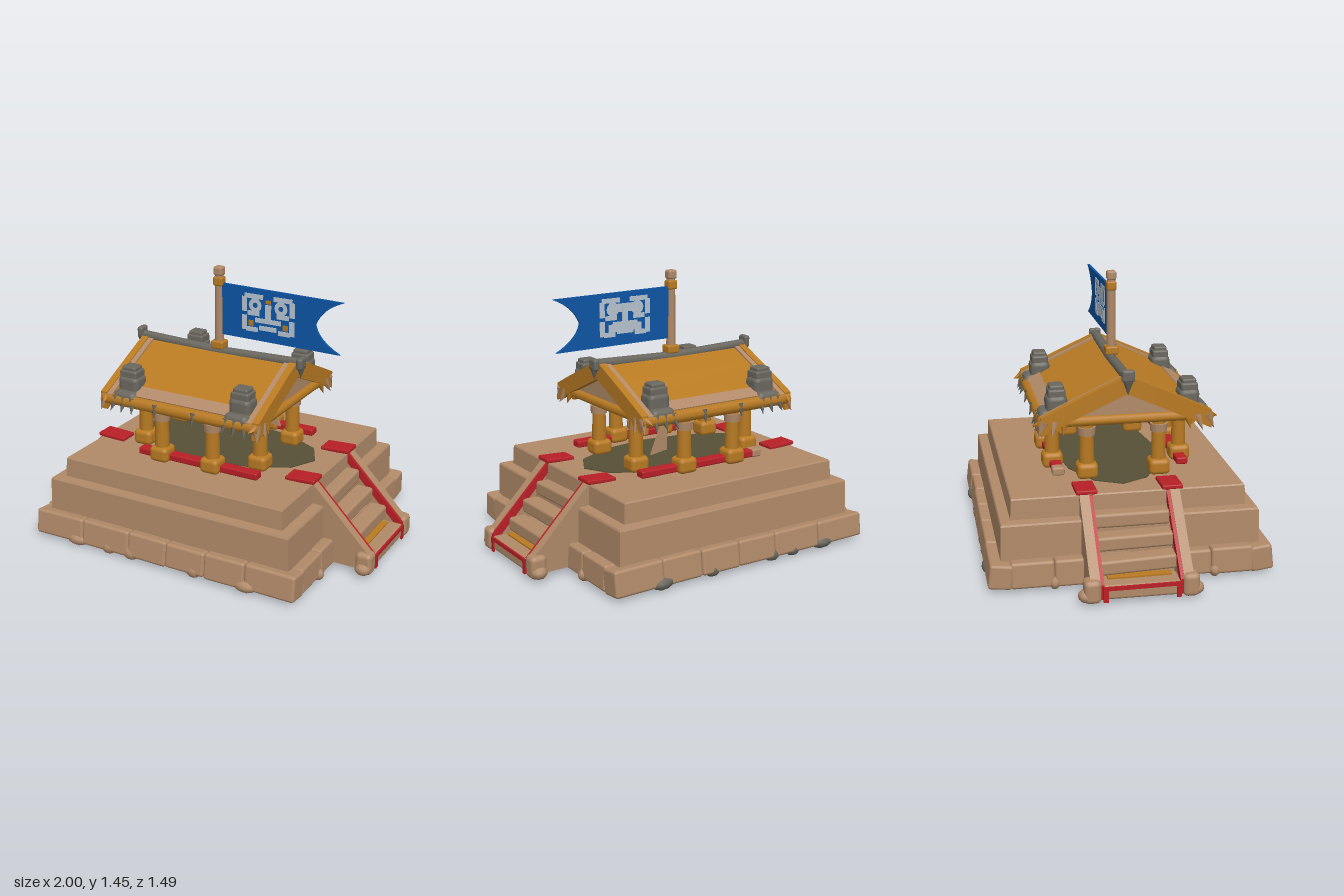
import * as THREE from 'three';
import { RoundedBoxGeometry } from 'three/addons/geometries/RoundedBoxGeometry.js';

const mat = (name, color, side = THREE.FrontSide) => {
  const m = new THREE.MeshStandardMaterial({ color, side });
  m.name = name;
  return m;
};

export function createModel() {
  const stone = mat('tan stone', 0xb18a69, THREE.DoubleSide);
  const wood = mat('ochre wood', 0xb87a22);
  const red = mat('red paint', 0xb81f26);
  const blue = mat('blue cloth', 0x0d55a5);
  const grey = mat('grey stone', 0x6a675f);
  const pale = mat('pale paint', 0xb8c4d0);
  const olive = mat('olive floor', 0x575038);

  const model = new THREE.Group();
  const group = (name, parent = model) => {
    const g = new THREE.Group();
    g.name = name;
    parent.add(g);
    return g;
  };
  const add = (parent, name, geo, material, x = 0, y = 0, z = 0) => {
    const m = new THREE.Mesh(geo, material);
    m.name = name;
    m.position.set(x, y, z);
    parent.add(m);
    return m;
  };
  const box = (w, h, d) => new THREE.BoxGeometry(w, h, d);
  const block = (w, h, d, r = 0.015) => new RoundedBoxGeometry(w, h, d, 2, r);
  // cylinder or cone between two points
  const rod = (parent, name, a, b, r0, r1, material, sides = 8) => {
    const p = new THREE.Vector3(...a), d = new THREE.Vector3(...b).sub(p);
    const m = add(parent, name, new THREE.CylinderGeometry(r1, r0, d.length(), sides), material);
    m.position.copy(p).addScaledVector(d, 0.5);
    m.quaternion.setFromUnitVectors(new THREE.Vector3(0, 1, 0), d.normalize());
    return m;
  };
  const shape = pts => new THREE.Shape(pts.map(p => new THREE.Vector2(...p)));
  const extrude = (s, depth) => new THREE.ExtrudeGeometry(s, { depth, bevelEnabled: false });
  // extrude a [z, y] outline from x0 to x1
  const alongX = (pts, x0, x1) =>
    extrude(shape(pts.map(([z, y]) => [-z, y])), x1 - x0).rotateY(Math.PI / 2).translate(x0, 0, 0);
  let seed = 7;
  const rnd = () => (seed = (seed * 16807) % 2147483647) / 2147483647 - 0.5;

  // stepped hollow platform, lofted from rectangles [half x, half z, y]
  const base = group('platform');
  const rows = [[0.52, 0.47, 0.12], [0.72, 0.665, 0.12], [0.715, 0.66, 0.328], [0.71, 0.655, 0.337],
    [0.655, 0.605, 0.339], [0.65, 0.6, 0.44], [0.645, 0.595, 0.447], [0.37, 0.18, 0.447]];
  const pos = [];
  const corner = ([x, z, y], i) => [[-x, y, z], [x, y, z], [x, y, -z], [-x, y, -z]][i % 4];
  for (let r = 0; r < rows.length - 1; r++) for (let i = 0; i < 4; i++) {
    const a = corner(rows[r], i), b = corner(rows[r], i + 1);
    const c = corner(rows[r + 1], i + 1), d = corner(rows[r + 1], i);
    pos.push(...a, ...b, ...c, ...a, ...c, ...d);
  }
  const loft = new THREE.BufferGeometry();
  loft.setAttribute('position', new THREE.Float32BufferAttribute(pos, 3));
  loft.computeVertexNormals();
  add(base, 'tiers', loft, stone);
  const floor = add(base, 'floor', new THREE.CylinderGeometry(0.54, 0.54, 0.012, 12), olive, 0, 0.446, -0.01);
  floor.scale.z = 0.52;

  // ring of leaning foundation blocks and loose rocks
  const xs = [-0.78, -0.48, -0.19, 0.04, 0.27, 0.5, 0.78], zs = [-0.62, -0.4, 0, 0.4, 0.62];
  for (const s of [-1, 1]) {
    for (let i = 0; i < 6; i++) {
      const m = add(base, 'foundationBlock', block(xs[i + 1] - xs[i], 0.135 + rnd() * 0.012, 0.12),
        stone, (xs[i] + xs[i + 1]) / 2, 0.086, s * (0.664 + rnd() * 0.01));
      m.rotation.set(-s * 0.12, 0, rnd() * 0.03);
    }
    for (let i = 0; i < 4; i++)
      add(base, 'foundationBlock', block(0.11, 0.135 + rnd() * 0.012, zs[i + 1] - zs[i]),
        stone, s * (0.727 + rnd() * 0.008), 0.086, (zs[i] + zs[i + 1]) / 2).rotation.z = s * 0.06;
  }
  const rock = (x, z, w, material) => {
    const m = add(base, 'rock', new THREE.IcosahedronGeometry(1, 1), material, x, 0.038, z);
    m.scale.set(w, 0.036, w * 0.65);
    m.rotation.y = rnd() * 0.4;
  };
  for (const s of [-1, 1]) {
    for (const x of [-0.52, 0.5]) rock(x, s * 0.7, 0.07, s < 0 ? grey : stone);
    for (const x of [-0.32, -0.18, 0.2]) rock(x, s * 0.705, 0.045, s < 0 ? grey : stone);
    for (const z of [-0.4, 0.42]) rock(s * 0.76, z, 0.045, stone);
  }

  // stairs, one flight on each side
  for (const turn of [0, Math.PI]) {
    const st = group(turn ? 'rightStairs' : 'leftStairs');
    st.rotation.y = turn;
    for (const s of [-1, 1]) {
      const wall = shape([[0.6, 0.03], [0.98, 0.03], [0.985, 0.11], [0.655, 0.448], [0.6, 0.448]]);
      add(st, 'stairWall', extrude(wall, 0.05), stone, 0, 0, s * 0.232 - 0.025);
      const trim = shape([[0.94, 0.03], [0.985, 0.03], [0.985, 0.106], [0.655, 0.443], [0.6, 0.443], [0.94, 0.095]]);
      add(st, 'redTrim', extrude(trim, 0.018), red, 0, 0, s * 0.198 - 0.009);
      add(st, 'redPost', box(0.01, 0.08, 0.024), red, 0.991, 0.058, s * 0.182);
      add(st, 'railCap', block(0.165, 0.022, 0.108, 0.006), red, 0.583, 0.457, s * 0.22).rotation.z = 0.05;
      add(st, 'newelBlock', block(0.09, 0.12, 0.085, 0.025), stone, 0.955, 0.072, s * 0.245);
      const toe = add(st, 'toeRock', new THREE.IcosahedronGeometry(0.045, 1), stone, 0.955, 0.045, s * 0.27);
      toe.scale.y = 0.8;
    }
    for (let i = 0; i < 4; i++) {
      const step = add(st, 'step', block(i === 3 ? 0.13 : 0.1, 0.075, 0.39), stone,
        0.675 + i * 0.083, 0.325 - i * 0.087, 0);
      step.rotation.x = rnd() * 0.08;
    }
    add(st, 'ochreEdge', box(0.045, 0.008, 0.32), wood, 0.895, 0.106, 0);
    add(st, 'redSill', box(0.01, 0.02, 0.37), red, 0.99, 0.088, 0);
  }

  // columns with footings and capitals
  const cx = -0.035, cz = 0.015;
  const columns = group('columns');
  for (const sx of [-1, 1]) for (const sz of [-1, 1])
    for (const [dx, dz] of [[0.355, 0.19], [0.155, 0.345]]) {
      const x = cx + sx * dx, z = cz + sz * dz;
      add(columns, 'footing', block(0.11, 0.085, 0.11, 0.025), wood, x, 0.485, z);
      rod(columns, 'shaft', [x, 0.5, z], [x, 0.69, z], 0.041, 0.037, wood, 10);
      rod(columns, 'capital', [x, 0.675, z], [x, 0.718, z], 0.045, 0.048, stone, 10);
      rod(columns, 'pin', [x, 0.71, z], [x, 0.77, z], 0.036, 0.036, wood, 10);
    }
  // low red sills between the footings
  for (const s of [-1, 1])
    add(columns, 'redSill', block(0.72, 0.038, 0.06, 0.008), red, 0.03, 0.472, cz + s * 0.335);
  add(columns, 'sillEnd', block(0.06, 0.044, 0.066, 0.01), stone, -0.345, 0.472, cz - 0.335);
  // broken panel leaning behind a column
  add(columns, 'brokenPanel', extrude(shape([[0.14, 0.7], [0.17, 0.69], [0.24, 0.52], [0.14, 0.535]]), 0.012),
    stone, 0, 0, -0.2);

  // gabled roof: slightly concave slopes from ridge to eaves
  const roof = group('roof');
  const line = [[0, 0.995], [0.15, 0.928], [0.32, 0.85], [0.44, 0.792]];
  const chevron = (up, down) => [
    ...line.map(([z, y]) => [cz + z, y + up]).reverse(),
    ...line.slice(1).map(([z, y]) => [cz - z, y + up]),
    ...line.map(([z, y]) => [cz - z, y - down]).reverse(),
    ...line.slice(1).map(([z, y]) => [cz + z, y - down])];
  add(roof, 'slopes', alongX(chevron(0, 0.03), cx - 0.45, cx + 0.45), wood);
  for (const s of [-1, 1]) {
    const span = (a, b) => s < 0 ? [cx - b, cx - a] : [cx + a, cx + b];
    add(roof, 'rafter', alongX(chevron(0.016, 0.08), ...span(0.435, 0.475)), wood);
    add(roof, 'gableTrim', alongX(chevron(0.01, 0.02), ...span(0.405, 0.436)), stone);
    add(roof, 'gable', alongX([[cz - 0.36, 0.78], [cz + 0.36, 0.78], [cz, 0.97]], ...span(0.42, 0.44)), stone);
    rod(roof, 'tieBeam', [cx + s * 0.44, 0.775, cz - 0.42], [cx + s * 0.44, 0.775, cz + 0.42], 0.026, 0.026, wood);
    rod(roof, 'eaveBeam', [cx - 0.47, 0.772, cz + s * 0.42], [cx + 0.47, 0.772, cz + s * 0.42], 0.034, 0.034, wood);
    rod(roof, 'wallPlate', [cx - 0.43, 0.75, cz + s * 0.345], [cx + 0.43, 0.75, cz + s * 0.345], 0.026, 0.026, wood);
    // tan band above the eave
    const band = add(roof, 'eaveBand', box(0.6, 0.008, 0.075), stone, cx, 0.822, cz + s * 0.383);
    band.rotation.x = s * 0.45;
    for (const x of [-0.17, 0.06])
      rod(roof, 'eaveSpike', [x, 0.79, cz + s * 0.435], [x, 0.725, cz + s * 0.46], 0.02, 0.001, grey, 6);
  }

  // corner urns with claws and tusks
  for (const sx of [-1, 1]) for (const sz of [-1, 1]) {
    const ornament = group('cornerOrnament', roof);
    const x = cx + sx * 0.335, z = cz + sz * 0.345;
    add(ornament, 'urn', block(0.125, 0.13, 0.11, 0.03), grey, x, 0.835, z);
    add(ornament, 'urnNeck', block(0.105, 0.05, 0.09, 0.012), grey, x, 0.905, z);
    add(ornament, 'urnCap', block(0.085, 0.035, 0.075, 0.01), grey, x, 0.932, z);
    add(ornament, 'paw', block(0.14, 0.07, 0.08, 0.03), grey, x, 0.79, z + sz * 0.055);
    for (const d of [-0.05, 0, 0.05])
      rod(ornament, 'claw', [x + d, 0.79, z + sz * 0.08], [x + d * 1.3, 0.72, z + sz * 0.12], 0.025, 0.001, grey, 6);
    const ex = cx + sx * 0.455, ez = cz + sz * 0.42;
    rod(ornament, 'tusk', [ex, 0.785, ez], [ex + sx * 0.015, 0.71, ez + sz * 0.035], 0.03, 0.001, stone, 6);
    rod(ornament, 'tusk', [ex, 0.785, ez], [ex - sx * 0.02, 0.765, ez + sz * 0.06], 0.028, 0.001, wood, 6);
    rod(ornament, 'tusk', [ex, 0.78, ez - sz * 0.05], [ex + sx * 0.035, 0.71, ez - sz * 0.03], 0.026, 0.001, stone, 6);
    rod(ornament, 'tusk', [ex, 0.775, ez - sz * 0.1], [ex + sx * 0.02, 0.715, ez - sz * 0.09], 0.022, 0.001, wood, 6);
  }

  // sagging ridge pole with pointed ends
  rod(roof, 'ridgePole', [-0.52, 1.0, cz], [-0.03, 0.982, cz], 0.026, 0.028, grey);
  rod(roof, 'ridgePole', [-0.03, 0.982, cz], [0.46, 0.998, cz], 0.028, 0.026, grey);
  for (const x of [-0.525, 0.455]) {
    add(roof, 'ridgeKnob', block(0.035, 0.065, 0.068, 0.014), grey, x, x < 0 ? 1.015 : 0.995, cz);
    rod(roof, 'ridgeFang', [x, 0.985, cz], [x, 0.915, cz], 0.026, 0.001, grey, 6);
  }

  // flagpole
  const flag = group('flag');
  const px = -0.03, pz = 0.02;
  add(flag, 'poleFoot', block(0.075, 0.045, 0.07, 0.01), wood, px, 1.025, pz);
  rod(flag, 'pole', [px, 1.02, pz], [px, 1.43, pz], 0.026, 0.023, stone, 8);
  add(flag, 'poleCollar', block(0.055, 0.05, 0.052, 0.01), wood, px, 1.375, pz);
  add(flag, 'finial', block(0.052, 0.05, 0.05, 0.012), stone, px, 1.43, pz);

  // swallow-tailed cloth
  const cloth = new THREE.Shape();
  cloth.moveTo(-0.01, 1.085);
  cloth.lineTo(0.675, 1.078);
  cloth.quadraticCurveTo(0.55, 1.14, 0.535, 1.22);
  cloth.quadraticCurveTo(0.57, 1.31, 0.69, 1.357);
  cloth.lineTo(-0.01, 1.367);
  cloth.closePath();
  add(flag, 'cloth', extrude(cloth, 0.014), blue, 0, 0, pz - 0.007);

  // abstract painted ornament [x, y, width, height], filled in more on the back
  const paint = [[0.18, 1.322, 0.11, 0.025], [0.35, 1.322, 0.11, 0.025], [0.126, 1.275, 0.03, 0.08],
    [0.404, 1.275, 0.03, 0.08], [0.126, 1.175, 0.03, 0.08], [0.404, 1.175, 0.03, 0.08],
    [0.17, 1.142, 0.07, 0.025], [0.36, 1.142, 0.07, 0.025], [0.265, 1.245, 0.035, 0.08],
    [0.265, 1.195, 0.15, 0.025], [0.265, 1.155, 0.1, 0.025], [0.18, 1.23, 0.07, 0.025], [0.35, 1.23, 0.07, 0.025]];
  const accents = [[0.165, 1.175, 0.03, 0.03], [0.365, 1.175, 0.03, 0.03], [0.265, 1.3, 0.03, 0.02]];
  const backFill = [[0.265, 1.28, 0.18, 0.045], [0.265, 1.175, 0.2, 0.04]];
  for (const s of [-1, 1]) {
    for (const [x, y, w, h] of paint) add(flag, 'paintBar', box(w, h, 0.004), pale, x, y, pz + s * 0.008);
    for (const [x, y, w, h] of s > 0 ? accents : backFill)
      add(flag, 'paintAccent', box(w, h, 0.004), s > 0 ? wood : pale, x, y, pz + s * 0.0075);
    for (const x of [0.19, 0.34]) {
      const ring = add(flag, 'paintRing', new THREE.RingGeometry(0.014, 0.038, 12), pale, x, 1.275, pz + s * 0.0105);
      if (s < 0) ring.rotation.y = Math.PI;
    }
  }
  return model;
}
